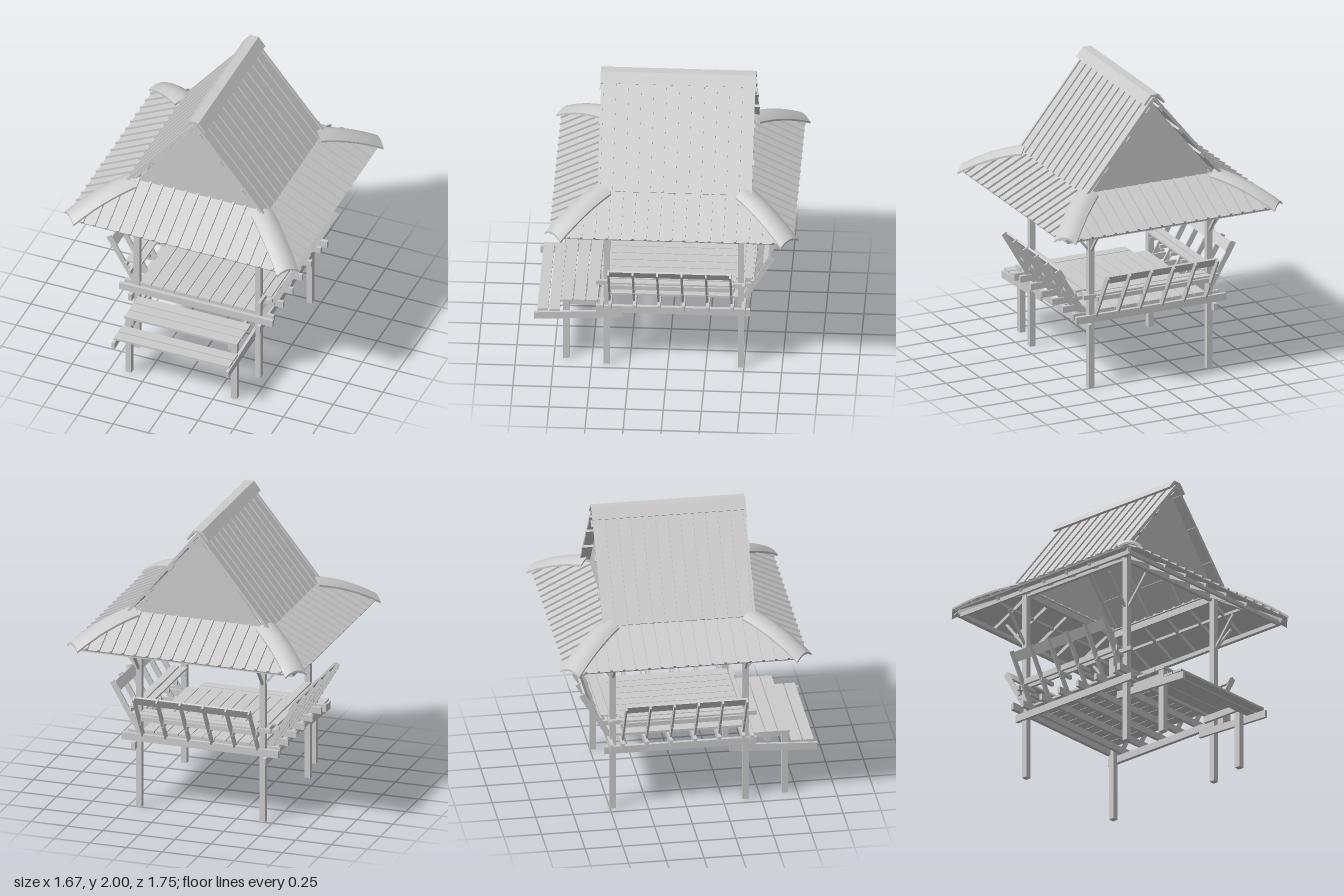
import * as THREE from 'three';
import { toCreasedNormals } from 'three/addons/utils/BufferGeometryUtils.js';

const Z0 = -0.04; // centre of the pavilion, behind the steps
const mat = new THREE.MeshStandardMaterial({ color: 0xcccccc });
const V = (x, y, z) => new THREE.Vector3(x, y, z);

function add(parent, name, geo, x = 0, y = 0, z = 0) {
  const m = new THREE.Mesh(geo, mat);
  m.name = name;
  m.position.set(x, y, z);
  parent.add(m);
  return m;
}

function box(parent, name, w, h, d, x, y, z) {
  return add(parent, name, new THREE.BoxGeometry(w, h, d), x, y, z);
}

// Square timber running from a to b
function beam(parent, name, a, b, w, h = w) {
  const m = box(parent, name, w, h, a.distanceTo(b), 0, 0, 0);
  m.position.copy(a).lerp(b, 0.5);
  m.quaternion.setFromRotationMatrix(
    new THREE.Matrix4().lookAt(b, a, V(0, 1, 0)));
  return m;
}

function group(parent, name, x = 0, y = 0, z = 0) {
  const g = new THREE.Group();
  g.name = name;
  g.position.set(x, y, z);
  parent.add(g);
  return g;
}

function polygon(points, depth) {
  const shape = new THREE.Shape(points.map(([x, y]) => new THREE.Vector2(x, y)));
  return new THREE.ExtrudeGeometry(shape, { depth, bevelEnabled: false });
}

// Posts with two braces each
function buildPosts(root) {
  const g = group(root, 'posts');
  for (const sx of [-1, 1]) for (const sz of [-1, 1]) {
    const x = sx * 0.43, z = Z0 + sz * 0.44;
    box(g, 'post', 0.04, 1.36, 0.04, x, 0.68, z);
    beam(g, 'sideBrace', V(x, 0.945, z), V(x + sx * 0.17, 1.16, z), 0.015);
    beam(g, 'endBrace', V(x, 0.945, z), V(x, 1.16, z + sz * 0.17), 0.015);
  }
}

// Deck of planks over joists and two long beams
function buildFloor(root) {
  const g = group(root, 'floor');
  for (const s of [-1, 1]) box(g, 'floorBeam', 0.025, 0.05, 1.01, s * 0.455, 0.435, -0.035);
  for (const z of [0.43, -0.5]) box(g, 'edgeJoist', 1.09, 0.05, 0.025, 0, 0.487, z);
  for (let i = 0; i < 6; i++) box(g, 'joist', 1.06, 0.045, 0.022, 0, 0.487, 0.375 - i * 0.16);
  for (let i = 0; i < 10; i++) box(g, 'floorPlank', 0.078, 0.015, 0.87, -0.3735 + i * 0.083, 0.52, -0.03);
}

// Low landing and step at the front
function buildSteps(root) {
  const g = group(root, 'steps');
  for (const s of [-1, 1]) {
    box(g, 'stepLeg', 0.04, 0.44, 0.04, s * 0.375, 0.22, 0.67);
    box(g, 'landingBearer', 0.02, 0.045, 0.30, s * 0.345, 0.418, 0.545);
    beam(g, 'stringer', V(s * 0.405, 0.335, 0.88), V(s * 0.405, 0.365, 0.30), 0.02, 0.05);
  }
  for (let i = 0; i < 3; i++) box(g, 'landingPlank', 0.80, 0.016, 0.075, 0, 0.45, 0.50 + i * 0.082);
  for (let i = 0; i < 2; i++) box(g, 'stepPlank', 0.82, 0.015, 0.07, 0, 0.38, 0.745 + i * 0.078);
}

// Bench facing inward: outward is local +z
function buildBench(root, name, angle, shift) {
  const g = group(root, name, 0, 0, Z0 + shift);
  g.rotation.y = angle;
  for (let i = 0; i < 6; i++) {
    const x = -0.4 + i * 0.16;
    beam(g, 'backrestPost', V(x, 0.50, 0.452), V(x, 0.825, 0.642), 0.012, 0.036);
    box(g, 'seatArm', 0.02, 0.025, 0.12, x, 0.614, 0.475);
  }
  beam(g, 'backrestBoard', V(0, 0.767, 0.587), V(0, 0.825, 0.622), 0.81, 0.014);
  box(g, 'seatRail', 0.98, 0.03, 0.02, 0, 0.64, 0.46);
  box(g, 'outerSeatRail', 0.84, 0.03, 0.018, 0, 0.64, 0.515);
  for (const z of [0.43, 0.49]) box(g, 'seatPlank', 0.82, 0.012, 0.05, 0, 0.664, z);
}

// Bowed and arched cap along a hip, d measured out from the centre
function hipCapGeometry() {
  const geo = new THREE.BoxGeometry(0.155, 0.014, 1, 8, 1, 8);
  const p = geo.attributes.position;
  for (let i = 0; i < p.count; i++) {
    const t = p.getZ(i) + 0.5, u = p.getX(i) / 0.0775;
    const y = 1.39 - 0.185 * t + 0.12 * t * (1 - t) * 0.8 - 0.033 * u * u;
    p.setXYZ(i, p.getX(i), y + p.getY(i), 0.655 + 0.445 * t);
  }
  geo.computeVertexNormals();
  return toCreasedNormals(geo, 0.7);
}

// Four-sided lower roof: one side repeated around the centre
function buildLowerRoof(root) {
  const IN = 0.43, OUT = 0.8, TOP = 1.37, DROP = 0.185;
  const run = OUT - IN, len = Math.hypot(run, DROP);
  const panel = polygon([[-IN, 0], [IN, 0], [0.74, len * 0.84], [0.74, len], [-0.74, len], [-0.74, len * 0.84]], 0.008);
  const cap = hipCapGeometry();
  const roof = group(root, 'lowerRoof', 0, 0, Z0);
  for (let k = 0; k < 4; k++) {
    const side = group(roof, 'roofSide');
    side.rotation.y = k * Math.PI / 2;
    // Sheet and ribs in the slope plane: local y runs down, -z is up
    const slope = group(side, 'roofSlope', 0, TOP, IN);
    slope.rotation.x = Math.PI / 2 + Math.atan2(DROP, run);
    add(slope, 'roofSheet', panel);
    for (let i = -8; i <= 8; i++) {
      const x = i * 0.084;
      const start = Math.max(0, (Math.abs(x) - IN) / run) * len;
      box(slope, 'roofRib', 0.016, len - start, 0.014, x, (len + start) / 2, -0.006);
    }
    // Framing beneath
    box(side, 'eaveBeam', 1.48, 0.028, 0.02, 0, 1.164, 0.735);
    box(side, 'topBeam', 0.88, 0.045, 0.025, 0, 1.325, 0.43);
    beam(side, 'purlin', V(-0.58, 1.268, 0.58), V(0.58, 1.268, 0.58), 0.018);
    for (let i = -2; i <= 2; i++)
      beam(side, 'rafter', V(i * 0.2, 1.338, 0.43), V(i * 0.2, 1.172, 0.76), 0.016, 0.024);
    beam(side, 'hipRafter', V(0.43, 1.338, 0.43), V(0.75, 1.178, 0.75), 0.02, 0.03);
    add(side, 'hipCap', cap).rotation.y = Math.PI / 4;
  }
}

// Steep upper roof with closed gables and a ridge cap
function buildUpperRoof(root) {
  const roof = group(root, 'upperRoof', 0, 0, -0.048);
  const depth = 1.01, apex = 1.975, foot = V(0.495, 1.365, 0);
  const len = Math.hypot(foot.x, apex - foot.y);
  for (const s of [-1, 1]) {
    const slope = group(roof, 'upperSlope', 0, apex, 0);
    slope.rotation.z = s * Math.atan2(foot.x, apex - foot.y);
    box(slope, 'roofSheet', 0.01, len, depth, -s * 0.005, -len / 2, 0);
    for (let i = 0; i < 13; i++)
      box(slope, 'roofRib', 0.014, len, 0.016, s * 0.003, -len / 2, -0.498 + i * 0.083);
    for (const d of [0.09, 0.32, 0.57])
      box(slope, 'purlin', 0.016, 0.045, depth + 0.02, -s * 0.018, -d, 0);
    for (const z of [-0.42, -0.14, 0.14, 0.42])
      box(slope, 'rafter', 0.018, len - 0.06, 0.02, -s * 0.035, -len / 2 - 0.01, z);
  }
  const gable = polygon([[-0.43, 1.365], [0.43, 1.365], [0, 1.94]], 0.012);
  for (const z of [0.44, -0.452]) add(roof, 'gable', gable, 0, 0, z);
  const cap = polygon([[-0.03, 2], [-0.078, 1.938], [-0.066, 1.93], [-0.024, 1.984],
    [0.024, 1.984], [0.066, 1.93], [0.078, 1.938], [0.03, 2]], depth + 0.01);
  add(roof, 'ridgeCap', cap, 0, 0, -depth / 2 - 0.005);
}

export function createModel() {
  const root = new THREE.Group();
  root.name = 'pavilion';
  buildPosts(root);
  buildFloor(root);
  buildSteps(root);
  buildBench(root, 'backBench', Math.PI, 0);
  buildBench(root, 'leftBench', Math.PI / 2, 0.02);
  buildBench(root, 'rightBench', -Math.PI / 2, 0.02);
  buildLowerRoof(root);
  buildUpperRoof(root);
  return root;
}
